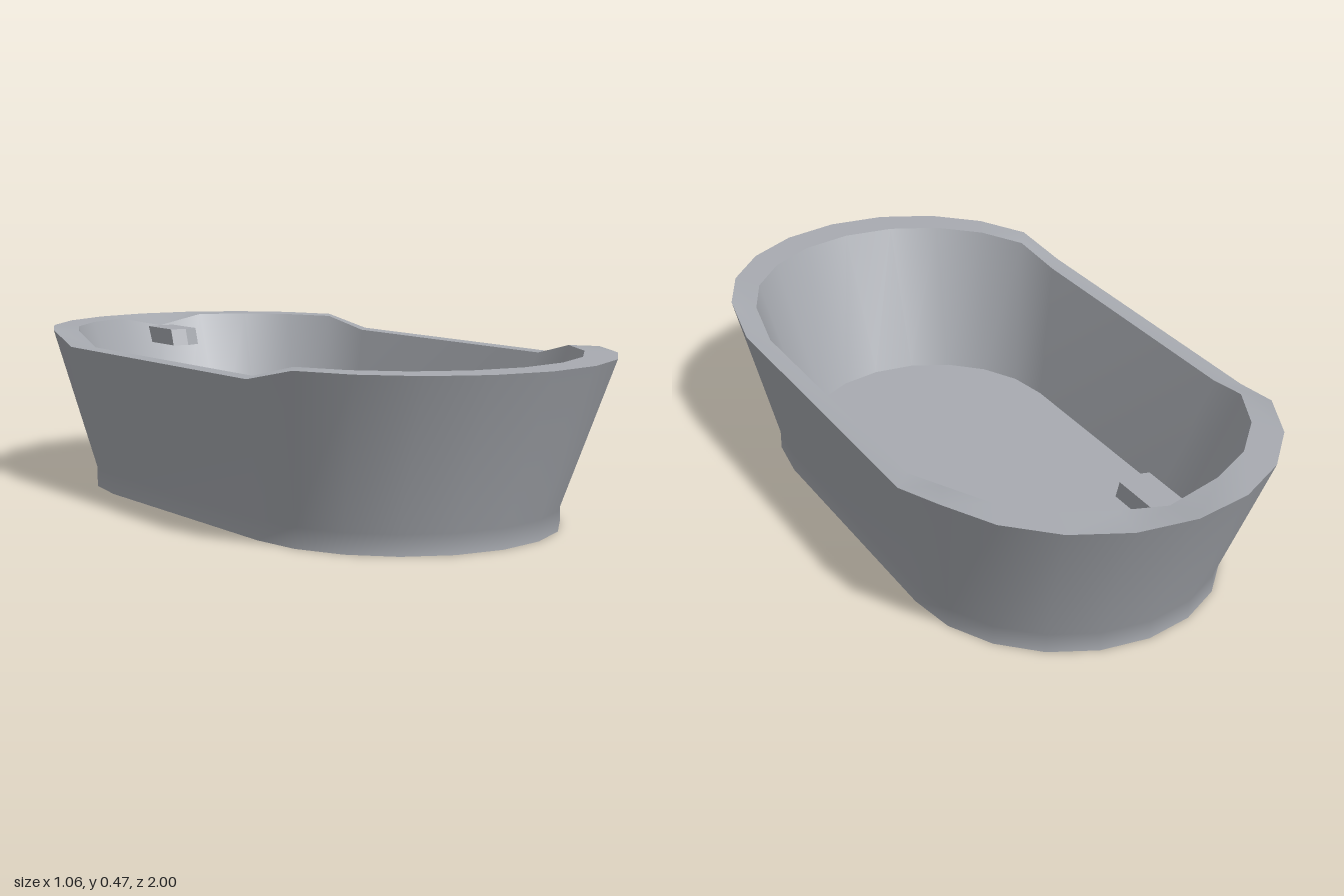
import * as THREE from 'three';

const STEPS = 10; // segments in each rounded end

// Stadium-shaped ring: two half circles of radius r centred at z = +c and -c
function ring(r, c, heightAt) {
  const pts = [];
  for (const side of [1, -1]) {
    for (let i = 0; i <= STEPS; i++) {
      const t = (i / STEPS) * Math.PI;
      pts.push(new THREE.Vector3(side * r * Math.cos(t), heightAt(i), side * (c + r * Math.sin(t))));
    }
  }
  return pts;
}

// Smooth skin through consecutive rings
function skin(rings) {
  const n = rings[0].length, index = [];
  for (let k = 0; k < rings.length - 1; k++) {
    for (let i = 0; i < n; i++) {
      const j = (i + 1) % n, a = k * n + i, b = k * n + j;
      index.push(a, a + n, b, b, a + n, b + n);
    }
  }
  const geo = new THREE.BufferGeometry().setFromPoints(rings.flat());
  geo.setIndex(index);
  geo.computeVertexNormals();
  return geo;
}

// Flat fan closing one ring
function cap(pts, y, up) {
  const n = pts.length, index = [];
  for (let i = 0; i < n; i++) {
    const j = (i + 1) % n;
    index.push(n, up ? j : i, up ? i : j);
  }
  const geo = new THREE.BufferGeometry().setFromPoints([...pts, new THREE.Vector3(0, y, 0)]);
  geo.setIndex(index);
  geo.computeVertexNormals();
  return geo;
}

export function createModel() {
  const group = new THREE.Group();
  const enamel = new THREE.MeshStandardMaterial({ color: 0xa8abb1 });
  enamel.name = 'grey enamel';
  const add = (name, geo) => {
    const mesh = new THREE.Mesh(geo, enamel);
    mesh.name = name;
    group.add(mesh);
  };

  // Rim is lower along the straight sides, higher round both ends
  const rimHeight = i => (i === 0 || i === STEPS ? 0.43 : 0.465);
  const base = ring(0.445, 0.385, () => 0);
  const foot = ring(0.445, 0.385, () => 0.055);
  const outerRim = ring(0.53, 0.47, rimHeight);
  const innerRim = ring(0.478, 0.418, rimHeight);
  const floor = ring(0.385, 0.33, () => 0.055);

  // Rim dips at the middle of the back, where the spout comes out
  innerRim[STEPS + 1 + STEPS / 2].set(0, 0.435, -0.88);

  add('outerWall', skin([base, foot, outerRim]));
  add('rim', skin([outerRim, innerRim]));
  add('innerWall', skin([innerRim, floor]));
  add('basinFloor', cap(floor, 0.055, true));
  add('underside', cap(base, 0, false));

  // Spout with a pointed front that leans forward at the bottom
  const outline = new THREE.Shape([
    [-0.045, -0.9], [0.045, -0.9], [0.045, -0.73], [0, -0.715], [-0.045, -0.73],
  ].map(([x, z]) => new THREE.Vector2(x, z)));
  const spout = new THREE.ExtrudeGeometry(outline, { depth: 0.05, bevelEnabled: false });
  spout.rotateX(Math.PI / 2).translate(0, 0.435, 0);
  const p = spout.attributes.position;
  for (let i = 0; i < p.count; i++) {
    if (p.getY(i) < 0.4 && p.getZ(i) > -0.8) p.setZ(i, p.getZ(i) + 0.015);
  }
  spout.computeVertexNormals();
  add('spout', spout);

  return group;
}
